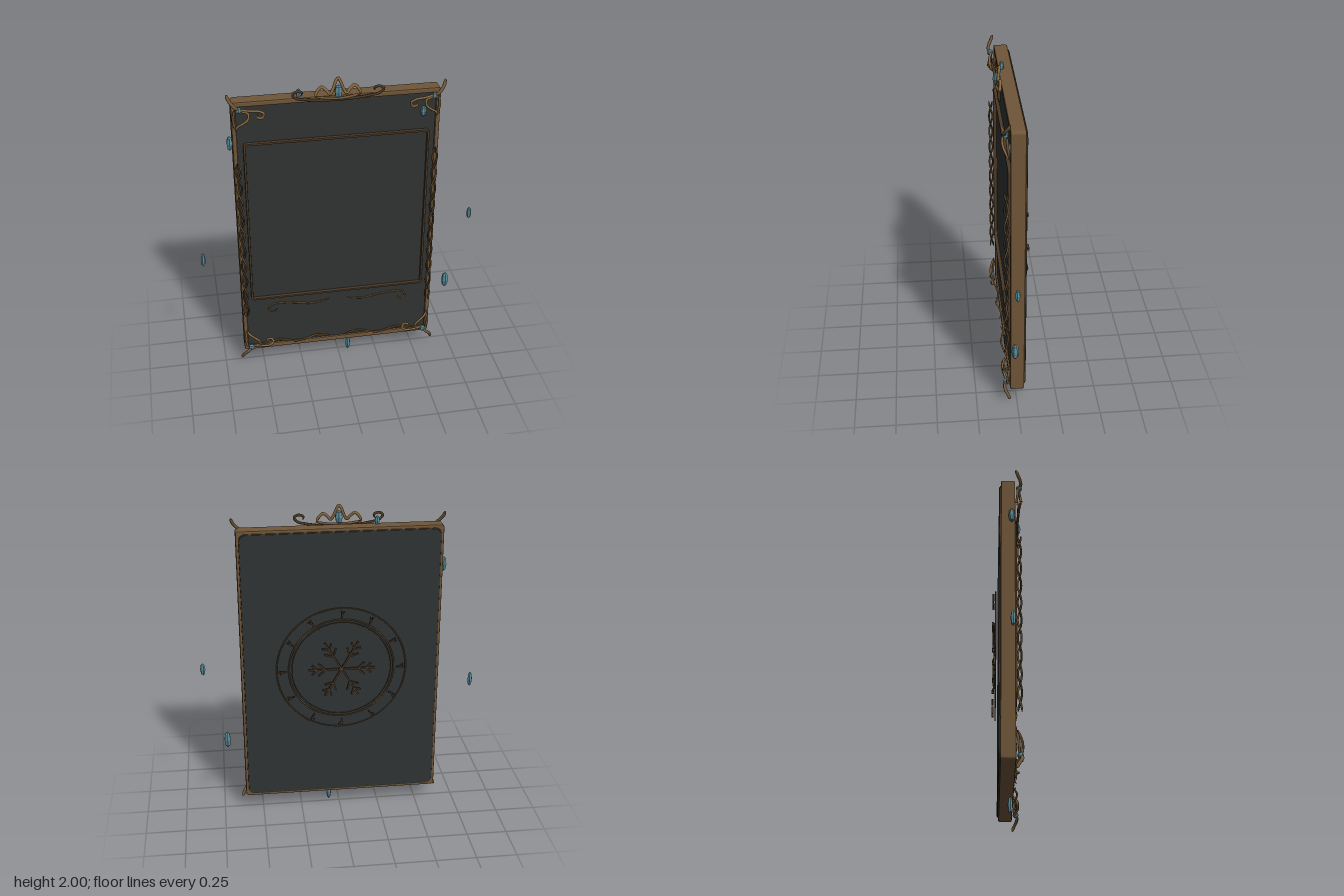
import * as THREE from 'three';

const BRONZE = new THREE.MeshStandardMaterial({ color: 0x6f5638 });
const GOLD = new THREE.MeshStandardMaterial({ color: 0x86673e });
const DARK_BRONZE = new THREE.MeshStandardMaterial({ color: 0x4a3826 });
const SLATE = new THREE.MeshStandardMaterial({ color: 0x303333 });
const CRYSTAL = new THREE.MeshStandardMaterial({ color: 0x5a8c9a, flatShading: true });
const CY = 0.99; // height of the card's centre

export function createModel() {
  const root = new THREE.Group();
  root.name = 'ornateCard';
  const card = new THREE.Group();
  card.name = 'card';
  card.position.set(-0.007, CY, 0);
  root.add(card);

  const add = (name, geo, mat, parent = card) => {
    const mesh = new THREE.Mesh(geo, mat);
    mesh.name = name;
    parent.add(mesh);
    return mesh;
  };

  // Rounded rectangle given by half sizes
  const roundRect = (w, h, r, Type = THREE.Shape) => {
    const s = new Type();
    s.moveTo(w, -h + r);
    s.lineTo(w, h - r).absarc(w - r, h - r, r, 0, Math.PI / 2);
    s.lineTo(-w + r, h).absarc(-w + r, h - r, r, Math.PI / 2, Math.PI);
    s.lineTo(-w, -h + r).absarc(-w + r, -h + r, r, Math.PI, Math.PI * 1.5);
    s.lineTo(w - r, -h).absarc(w - r, -h + r, r, Math.PI * 1.5, Math.PI * 2);
    return s;
  };
  const slab = (w, h, r, z0, z1, bevel = 0, hole = null) => {
    const s = roundRect(w - bevel, h - bevel, r);
    if (hole) s.holes.push(roundRect(hole[0] + bevel, hole[1] + bevel, hole[2], THREE.Path));
    return new THREE.ExtrudeGeometry(s, {
      depth: z1 - z0 - 2 * bevel, bevelEnabled: bevel > 0, bevelSize: bevel,
      bevelThickness: bevel, bevelSegments: 2, curveSegments: 6,
    }).translate(0, 0, z0 + bevel);
  };

  // Wire along a smooth path, tapering to closed points at both ends
  const wire = (name, pts, radius, mat = GOLD, parent = card, tip = 0.12) => {
    const curve = new THREE.CatmullRomCurve3(pts.map((p) => new THREE.Vector3(...p)));
    const n = pts.length * 7, sides = 7;
    const geo = new THREE.TubeGeometry(curve, n, radius, sides);
    const pos = geo.attributes.position, v = new THREE.Vector3();
    for (let i = 0; i <= n; i++) {
      const t = i / n, c = curve.getPointAt(t);
      const k = Math.sqrt(Math.min(1, Math.min(t, 1 - t) / tip));
      for (let j = 0; j <= sides; j++) {
        const id = i * (sides + 1) + j;
        v.fromBufferAttribute(pos, id).sub(c).multiplyScalar(k).add(c);
        pos.setXYZ(id, v.x, v.y, v.z);
      }
    }
    return add(name, geo, mat, parent);
  };

  // Six-sided crystal with pointed ends
  const crystal = (name, x, y, z, height, radius, parent) => {
    const h = height / 2;
    const profile = [[0, -h], [radius * 0.75, -h * 0.7], [radius, 0], [radius * 0.75, h * 0.7], [0, h]]
      .map(([a, b]) => new THREE.Vector2(a, b));
    const m = add(name, new THREE.LatheGeometry(profile, 6), CRYSTAL, parent);
    m.position.set(x, y, z);
    return m;
  };

  // Card body
  add('outerFrame', slab(0.617, 0.89, 0.012, -0.044, 0.042, 0.008, [0.59, 0.857, 0.02]), BRONZE);
  add('corePanel', slab(0.6, 0.868, 0.02, -0.038, 0.03), SLATE);
  add('backPlate', slab(0.598, 0.868, 0.04, -0.054, -0.036, 0.003), SLATE);
  add('backTrim', slab(0.602, 0.872, 0.04, -0.05, -0.036, 0.002, [0.594, 0.864, 0.036]), DARK_BRONZE);
  const windowFrame = add('pictureFrame', slab(0.557, 0.558, 0.02, 0.026, 0.052, 0.003, [0.544, 0.545, 0.015]), DARK_BRONZE);
  windowFrame.position.y = 0.067;

  // Corner ornaments: horn, two scrolls and a gem
  for (const sx of [1, -1]) for (const sy of [1, -1]) {
    const corner = new THREE.Group();
    corner.name = 'cornerOrnament';
    card.add(corner);
    const m = (pts) => pts.map(([x, y, z]) => [x * sx, y * sy, z]);
    wire('horn', m([[0.57, 0.85, 0.06], [0.59, 0.868, 0.075], [0.612, 0.89, 0.07], [0.63, 0.918, 0.055], [0.638, 0.944, 0.045]]), 0.01, BRONZE, corner);
    wire('topScroll', m([[0.59, 0.86, 0.05], [0.555, 0.85, 0.062], [0.51, 0.845, 0.073], [0.46, 0.842, 0.078], [0.43, 0.822, 0.075], [0.445, 0.794, 0.07], [0.472, 0.804, 0.068], [0.462, 0.824, 0.068]]), 0.0075, GOLD, corner);
    wire('sideScroll', m([[0.598, 0.715, 0.05], [0.585, 0.745, 0.064], [0.553, 0.77, 0.077], [0.524, 0.796, 0.08], [0.522, 0.83, 0.073], [0.555, 0.842, 0.066], [0.59, 0.86, 0.05]]), 0.0075, GOLD, corner);
    wire('edgeStem', m([[0.598, 0.73, 0.048], [0.607, 0.79, 0.056], [0.596, 0.85, 0.06]]), 0.008, BRONZE, corner);
    crystal('cornerGem', 0.575 * sx, 0.852 * sy, 0.066, 0.04, 0.019, corner);
  }

  for (const s of [1, -1]) {
    // Twisted vines along the sides
    for (const phase of [0, Math.PI]) {
      const pts = [];
      for (let i = 0; i <= 40; i++) {
        const t = i / 40, a = t * Math.PI * 10 + phase;
        pts.push([s * (0.592 + 0.014 * Math.sin(a)), -0.61 + 1.12 * t, 0.064 + 0.011 * Math.cos(a)]);
      }
      wire('sideVine', pts, 0.006, phase ? DARK_BRONZE : BRONZE, card, 0.02);
    }
    // Flourishes below the picture frame and along the bottom edge
    wire('captionFlourish', [[0.39, -0.578], [0.425, -0.602], [0.449, -0.575], [0.42, -0.544], [0.35, -0.54], [0.26, -0.552], [0.17, -0.566], [0.1, -0.556], [0.05, -0.543]]
      .map(([x, y]) => [s * x, y, 0.04]), 0.005);
    wire('bottomFlourish', [[0.52, -0.84], [0.45, -0.824], [0.39, -0.82], [0.34, -0.842], [0.27, -0.847], [0.21, -0.828], [0.15, -0.82], [0.09, -0.833], [0.035, -0.839]]
      .map(([x, y], i) => [s * x, y, 0.055 + 0.012 * Math.sin(i * 1.6)]), 0.006);
  }

  // Crown on the top edge
  const crown = new THREE.Group();
  crown.name = 'crown';
  card.add(crown);
  const half = [[0.135, 0.898, 0.062], [0.122, 0.928, 0.058], [0.095, 0.952, 0.055], [0.07, 0.935, 0.062], [0.048, 0.912, 0.068], [0.03, 0.94, 0.062], [0.012, 0.985, 0.055]];
  const mirror = (pts) => pts.map(([x, y, z]) => [-x, y, z]);
  wire('crownPeaks', [...half, [0, 1.001, 0.053], ...mirror(half).reverse()], 0.009, GOLD, crown, 0.04);
  const curl = [[0.215, 0.912, 0.066], [0.21, 0.933, 0.07], [0.24, 0.943, 0.074], [0.265, 0.928, 0.075], [0.245, 0.902, 0.073], [0.19, 0.888, 0.07], [0.1, 0.876, 0.066]];
  wire('crownBase', [...curl, [0, 0.872, 0.064], ...mirror(curl).reverse()], 0.008, DARK_BRONZE, crown, 0.04);
  wire('crownBand', [[-0.14, 0.9, 0.06], [-0.07, 0.887, 0.066], [0, 0.883, 0.07], [0.07, 0.887, 0.066], [0.14, 0.9, 0.06]], 0.008, BRONZE, crown);
  crystal('crownGem', 0, 0.925, 0.068, 0.085, 0.024, crown);

  // Back emblem: rings, ring marks and snowflake
  const emblem = new THREE.Group();
  emblem.name = 'backEmblem';
  card.add(emblem);
  for (const [r, tube] of [[0.4, 0.004], [0.325, 0.005], [0.307, 0.003]])
    add('emblemRing', new THREE.TorusGeometry(r, tube, 6, 72), BRONZE, emblem).position.z = -0.07;
  const bar = (name, x0, y0, x1, y1, w, z, parent) => {
    const len = Math.hypot(x1 - x0, y1 - y0);
    const b = add(name, new THREE.BoxGeometry(len, w, 0.012), DARK_BRONZE, parent);
    b.position.set((x0 + x1) / 2, (y0 + y1) / 2, z);
    b.rotation.z = Math.atan2(y1 - y0, x1 - x0);
  };
  for (let i = 0; i < 12; i++) {
    const mark = new THREE.Group();
    mark.name = 'ringMark';
    mark.rotation.z = (i * Math.PI) / 6;
    emblem.add(mark);
    bar('markStem', 0.34, 0, 0.385, 0, 0.007, -0.085, mark);
    bar('markBranch', 0.36, 0, 0.38, i % 2 ? 0.018 : -0.018, 0.006, -0.085, mark);
  }
  for (let i = 0; i < 6; i++) {
    const arm = new THREE.Group();
    arm.name = 'snowflakeArm';
    arm.rotation.z = (i * Math.PI) / 3;
    emblem.add(arm);
    bar('armStem', 0, 0, 0.205, 0, 0.01, -0.077, arm);
    for (const s of [1, -1]) for (const [r, l] of [[0.1, 0.04], [0.15, 0.032]])
      bar('armBranch', r, 0, r + l, s * l, 0.009, -0.082, arm);
  }

  // Floating crystals around the card
  [[-0.64, 1.615, 0.02, 0.095, 0.019], [-0.847, 0.828, 0.022, 0.098, 0.015],
    [0.843, 0.988, 0.022, 0.082, 0.016], [0.713, 0.488, 0.022, 0.112, 0.022],
    [0.066, 0.056, 0.022, 0.112, 0.016], [0.51, 1.73, 0.03, 0.07, 0.019],
    [-0.23, 1.9, 0.022, 0.06, 0.016],
  ].forEach(([x, y, z, h, r], i) => {
    crystal('floatingCrystal', x, y, z, h, r, root).rotation.y = i * 0.7;
  });

  return root;
}
